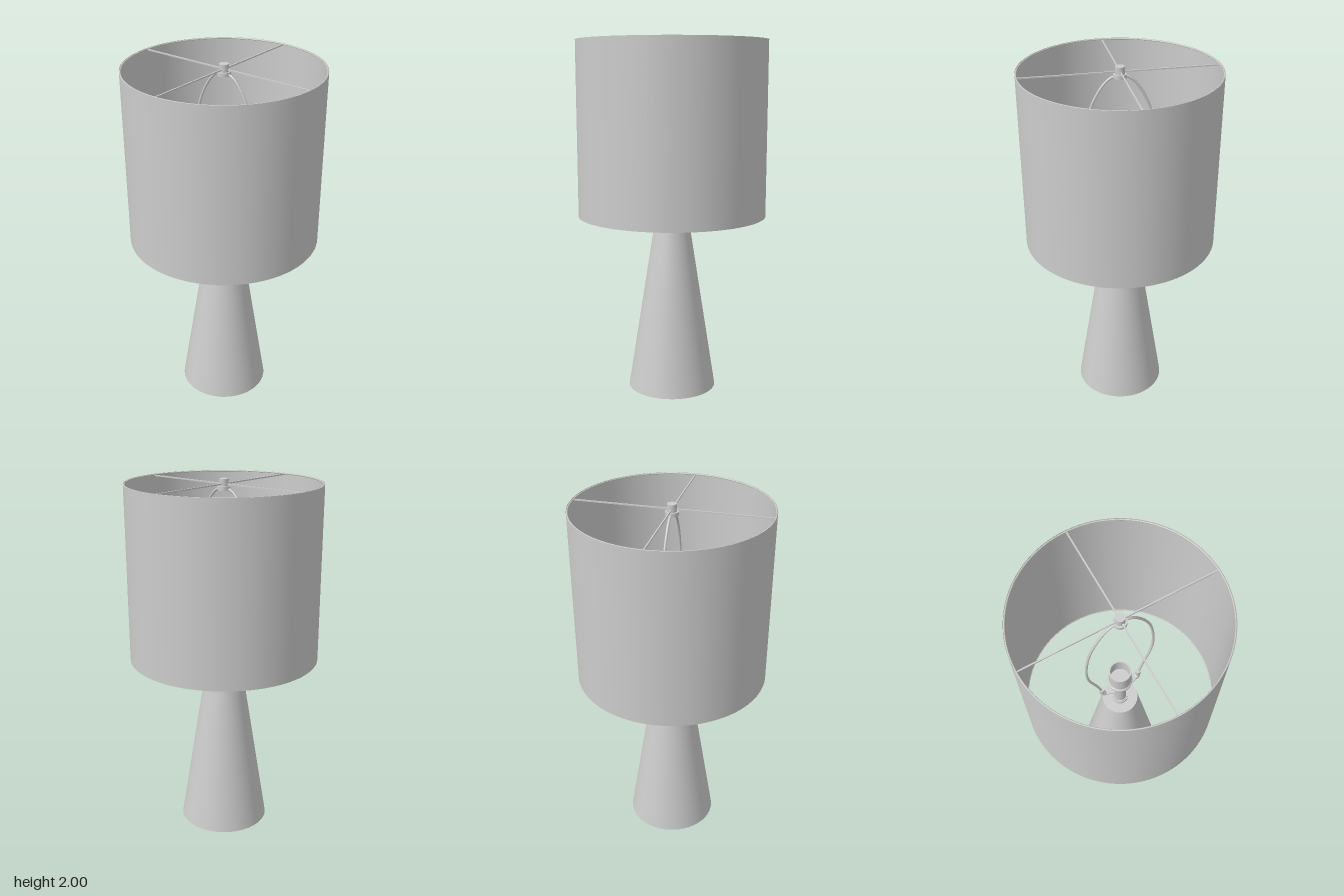
import * as THREE from 'three';

export function createModel() {
  const lamp = new THREE.Group();
  lamp.name = 'tableLamp';
  const grey = new THREE.MeshStandardMaterial({ color: 0xcccccc, side: THREE.DoubleSide });
  grey.name = 'lightGrey';

  const add = (name, geometry, x = 0, y = 0, z = 0) => {
    const mesh = new THREE.Mesh(geometry, grey);
    mesh.name = name;
    mesh.position.set(x, y, z);
    lamp.add(mesh);
    return mesh;
  };
  const cylinder = (name, top, bottom, y0, y1, sides = 32, open = false) =>
    add(name, new THREE.CylinderGeometry(top, bottom, y1 - y0, sides, 1, open), 0, (y0 + y1) / 2);

  // Conical base in two stacked sections
  cylinder('lowerBase', 0.14, 0.25, 0, 0.7, 64);
  cylinder('upperBase', 0.1, 0.14, 0.7, 0.955, 64);

  // Neck with its collars
  cylinder('neckCollar', 0.045, 0.045, 0.955, 0.975);
  cylinder('neckRing', 0.04, 0.04, 0.975, 0.985);
  cylinder('neck', 0.035, 0.035, 0.985, 1.14);

  // Bulb socket: flared cup and straight shell
  const socket = [[0, 1.14], [0.035, 1.14], [0.04, 1.16], [0.065, 1.2], [0.068, 1.22],
    [0.06, 1.23], [0.06, 1.34], [0.052, 1.34], [0.052, 1.25], [0, 1.25]];
  add('socket', new THREE.LatheGeometry(socket.map(p => new THREE.Vector2(...p)), 32).toNonIndexed());
  lamp.getObjectByName('socket').geometry.computeVertexNormals();

  // Flat saddle that carries the harp
  const plate = new THREE.Shape([[-0.11, -0.01], [-0.04, -0.03], [0.04, -0.03], [0.11, -0.01],
    [0.11, 0.01], [0.04, 0.03], [-0.04, 0.03], [-0.11, 0.01]].map(p => new THREE.Vector2(...p)));
  const saddle = new THREE.ExtrudeGeometry(plate, { depth: 0.008, bevelEnabled: false });
  saddle.rotateX(-Math.PI / 2);
  add('harpSaddle', saddle, 0, 1.14);

  // Harp: one bent wire from saddle to saddle over the top
  const side = [[0.1, 1.15], [0.115, 1.2], [0.14, 1.3], [0.185, 1.45], [0.19, 1.6],
    [0.16, 1.77], [0.1, 1.89], [0.05, 1.94]];
  const path = [
    ...side.map(([x, y]) => new THREE.Vector3(x, y, 0)),
    new THREE.Vector3(0, 1.95, 0),
    ...side.slice().reverse().map(([x, y]) => new THREE.Vector3(-x, y, 0)),
  ];
  add('harp', new THREE.TubeGeometry(new THREE.CatmullRomCurve3(path), 80, 0.007, 8));
  for (const s of [-1, 1]) {
    add('harpFerrule', new THREE.CylinderGeometry(0.014, 0.014, 0.05, 16), s * 0.112, 1.19);
    add('harpFoot', new THREE.SphereGeometry(0.017, 16, 10), s * 0.105, 1.155);
  }

  // Hub and finial above the harp
  cylinder('hub', 0.035, 0.035, 1.94, 1.96, 24);
  cylinder('finial', 0.025, 0.025, 1.96, 2, 24);

  // Spokes holding the shade
  for (let i = 0; i < 4; i++) {
    const a = i * Math.PI / 2;
    const spoke = add('spoke', new THREE.BoxGeometry(0.5, 0.007, 0.007),
      0.275 * Math.cos(a), 1.972, 0.275 * Math.sin(a));
    spoke.rotation.y = -a;
  }

  // Drum shade: thin wall open at both ends, with a wire ring at each rim
  cylinder('shadeOuter', 0.528, 0.528, 1.01, 1.98, 96, true);
  cylinder('shadeInner', 0.522, 0.522, 1.01, 1.98, 96, true);
  for (const y of [1.014, 1.976]) {
    const ring = new THREE.TorusGeometry(0.523, 0.004, 8, 96);
    ring.rotateX(Math.PI / 2);
    add('shadeRing', ring, 0, y);
  }
  return lamp;
}
